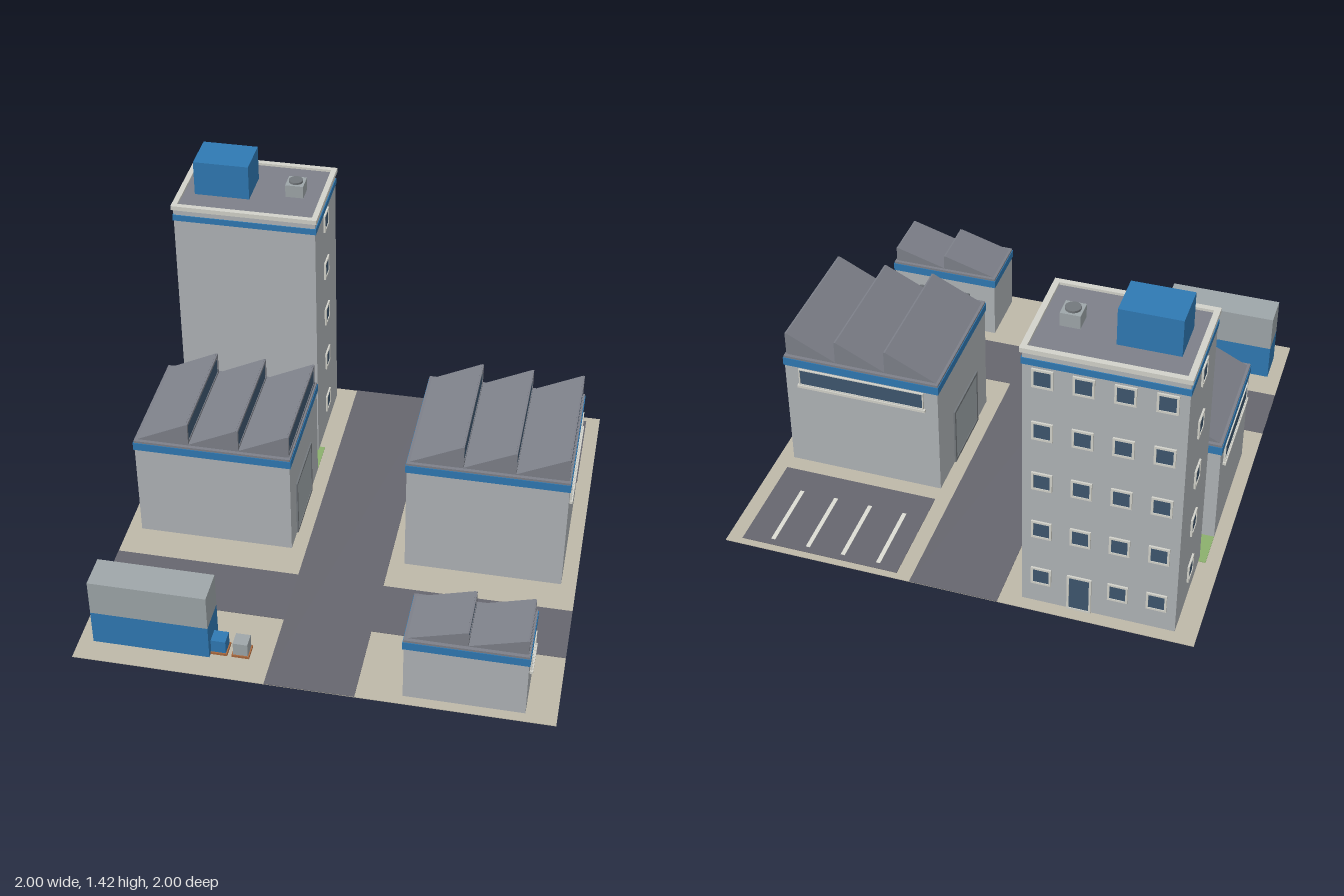
import * as THREE from 'three';

const mat = (color) => new THREE.MeshStandardMaterial({ color });
const M = {
  pavement: mat(0xbeb8a8), asphalt: mat(0x66666e), line: mat(0xdcdcd4), wall: mat(0xb0b4b7),
  blue: mat(0x2f79b3), roof: mat(0x7d8089), glass: mat(0x3e566e), trim: mat(0xd2d2ca),
  metal: mat(0x9ea6a9), dark: mat(0x73787c), grass: mat(0x8bb06c), wood: mat(0xa9683c),
};

// Box given by its limits on each axis
function box(parent, name, m, x0, x1, y0, y1, z0, z1) {
  const mesh = new THREE.Mesh(new THREE.BoxGeometry(x1 - x0, y1 - y0, z1 - z0), m);
  mesh.position.set((x0 + x1) / 2, (y0 + y1) / 2, (z0 + z1) / 2);
  mesh.name = name;
  parent.add(mesh);
  return mesh;
}

function group(parent, name) {
  const g = new THREE.Group();
  g.name = name;
  parent.add(g);
  return g;
}

// Framed panel standing on a wall; turn is the rotation about y (0 faces +z)
function panel(parent, name, x, y, z, turn, w, h, { fill = M.glass, frame = M.trim, edge = 0.009, depth = 0.008, sill = 0 } = {}) {
  const g = group(parent, name);
  g.position.set(x, y, z);
  g.rotation.y = turn;
  const s = new THREE.Shape();
  s.moveTo(-w / 2, -h / 2).lineTo(w / 2, -h / 2).lineTo(w / 2, h / 2).lineTo(-w / 2, h / 2).closePath();
  const hole = new THREE.Path();
  const a = w / 2 - edge, b = h / 2 - edge;
  hole.moveTo(-a, -b).lineTo(-a, b).lineTo(a, b).lineTo(a, -b).closePath();
  s.holes.push(hole);
  const f = new THREE.Mesh(new THREE.ExtrudeGeometry(s, { depth, bevelEnabled: false }), frame);
  f.name = name + 'Frame';
  g.add(f);
  box(g, name + 'Pane', fill, -a, a, -b, b, 0, depth * 0.6);
  if (sill) box(g, name + 'Sill', M.trim, -w / 2 - 0.008, w / 2 + 0.008, -h / 2 - sill, -h / 2, 0, 0.014);
  return g;
}

const RIGHT = Math.PI / 2, LEFT = -Math.PI / 2, BACK = Math.PI;

// Hall with a blue band and a saw-tooth roof whose glazing faces +x
function hall(parent, name, { x0, x1, z0, z1, h, teeth, rise }) {
  const g = group(parent, name);
  box(g, 'walls', M.wall, x0, x1, 0, h, z0, z1);
  const e = 0.005;
  box(g, 'band', M.blue, x0 - e, x1 + e, h, h + 0.037, z0 - e, z1 + e);
  box(g, 'roofSlab', M.roof, x0 - 0.002, x1 + 0.002, h + 0.037, h + 0.047, z0 - 0.002, z1 + 0.002);
  const a = x0 + 0.01, step = (x1 - 0.012 - a) / teeth, d = z1 - z0 - 0.026;
  const s = new THREE.Shape();
  s.moveTo(0, 0).lineTo(step, 0).lineTo(step, rise).closePath();
  const geo = new THREE.ExtrudeGeometry(s, { depth: d, bevelEnabled: false });
  for (let i = 0; i < teeth; i++) {
    const t = new THREE.Mesh(geo, M.roof);
    t.name = 'roofTooth';
    t.position.set(a + i * step, h + 0.047, z0 + 0.013);
    g.add(t);
    panel(g, 'roofLight', a + (i + 1) * step, h + 0.047 + rise / 2, (z0 + z1) / 2, RIGHT, d, rise - 0.002,
      { frame: M.roof, edge: 0.014, depth: 0.007 });
  }
  return g;
}

function tower(parent) {
  const g = group(parent, 'officeTower');
  const x0 = -0.91, x1 = -0.28, z0 = -0.945, z1 = -0.51, cx = -0.595, cz = -0.725;
  box(g, 'walls', M.wall, x0, x1, 0, 1.262, z0, z1);
  box(g, 'band', M.blue, x0 - 0.004, x1 + 0.004, 1.2, 1.228, z0 - 0.004, z1 + 0.004);
  // Parapet ring
  const s = new THREE.Shape(), hole = new THREE.Path();
  const W = 0.323, D = 0.228, w = W - 0.024, d = D - 0.024;
  s.moveTo(-W, -D).lineTo(W, -D).lineTo(W, D).lineTo(-W, D).closePath();
  hole.moveTo(-w, -d).lineTo(-w, d).lineTo(w, d).lineTo(w, -d).closePath();
  s.holes.push(hole);
  const ring = new THREE.Mesh(new THREE.ExtrudeGeometry(s, { depth: 0.02, bevelEnabled: false }), M.trim);
  ring.name = 'parapet';
  ring.rotation.x = -Math.PI / 2;
  ring.position.set(cx, 1.256, (z0 + z1) / 2);
  g.add(ring);
  box(g, 'roof', M.roof, cx - w, cx + w, 1.25, 1.265, -0.7275 - d, -0.7275 + d);
  // Rooftop equipment
  box(g, 'roofHousing', M.blue, -0.845, -0.6, 1.26, 1.425, -0.818, -0.635);
  box(g, 'fanUnit', M.metal, -0.45, -0.37, 1.26, 1.323, -0.77, -0.688);
  const fan = new THREE.Mesh(new THREE.CylinderGeometry(0.031, 0.031, 0.012, 20), M.dark);
  fan.name = 'fan';
  fan.position.set(-0.41, 1.326, -0.729);
  g.add(fan);
  // Windows on five floors, with a door in the back wall
  for (let i = 0; i < 5; i++) {
    const y = 0.145 + i * 0.25;
    panel(g, 'window', x1, y, cz, RIGHT, 0.083, 0.085);
    panel(g, 'window', x0, y, cz, LEFT, 0.083, 0.085);
    for (let c = 0; c < 4; c++) {
      if (i === 0 && c === 2) continue;
      panel(g, 'window', cx + (c - 1.5) * 0.157, y, z0, BACK, 0.083, 0.085);
    }
  }
  panel(g, 'door', cx + 0.0785, 0.093, z0, BACK, 0.1, 0.18);
}

export function createModel() {
  const model = new THREE.Group();
  model.name = 'industrialBlock';

  // Ground, roads, parking and lawn
  box(model, 'pavement', M.pavement, -1, 1, 0, 0.003, -1, 1);
  box(model, 'mainRoad', M.asphalt, -0.19, 0.185, 0.002, 0.005, -1, 1);
  box(model, 'crossRoadRight', M.asphalt, -1, -0.19, 0.002, 0.005, 0.343, 0.623);
  box(model, 'crossRoadLeft', M.asphalt, 0.185, 1, 0.002, 0.005, 0.343, 0.623);
  box(model, 'parkingLot', M.asphalt, 0.25, 0.937, 0.002, 0.005, -0.97, -0.505);
  for (let i = 0; i < 4; i++) {
    const x = 0.343 + i * 0.156;
    box(model, 'parkingLine', M.line, x - 0.009, x + 0.009, 0.004, 0.007, -0.94, -0.63);
  }
  box(model, 'lawn', M.grass, -0.94, -0.255, 0.002, 0.006, -0.535, -0.37);
  for (const x of [-0.815, -0.378]) box(model, 'hedge', M.grass, x - 0.03, x + 0.03, 0.004, 0.067, -0.488, -0.43);

  tower(model);

  // Halls with their doors and strip windows
  const door = { fill: M.metal, frame: M.dark, edge: 0.014, depth: 0.007 };
  const strip = { edge: 0.005, depth: 0.009, sill: 0.012 };
  const west = hall(model, 'rightHall', { x0: -0.94, x1: -0.255, z0: -0.375, z1: 0.18, h: 0.459, teeth: 3, rise: 0.109 });
  panel(west, 'stripWindow', -0.94, 0.41, -0.095, LEFT, 0.43, 0.085, strip);
  panel(west, 'stripWindow', -0.595, 0.41, -0.375, BACK, 0.56, 0.085, strip);
  panel(west, 'loadingDoor', -0.255, 0.143, -0.075, RIGHT, 0.3, 0.28, door);

  const east = hall(model, 'leftHall', { x0: 0.25, x1: 0.935, z0: -0.433, z1: 0.185, h: 0.524, teeth: 3, rise: 0.109 });
  panel(east, 'stripWindow', 0.935, 0.475, -0.123, RIGHT, 0.505, 0.083, strip);
  panel(east, 'stripWindow', 0.592, 0.475, -0.433, BACK, 0.56, 0.083, strip);
  panel(east, 'loadingDoor', 0.25, 0.143, -0.1, LEFT, 0.3, 0.28, door);

  const small = hall(model, 'workshop', { x0: 0.375, x1: 0.872, z0: 0.69, z1: 0.957, h: 0.272, teeth: 2, rise: 0.071 });
  panel(small, 'stripWindow', 0.872, 0.226, 0.823, RIGHT, 0.146, 0.078, strip);
  panel(small, 'loadingDoor', 0.623, 0.106, 0.69, BACK, 0.25, 0.21, door);

  // Stacked containers and crates on pallets
  box(model, 'lowerContainer', M.blue, -0.94, -0.443, 0.003, 0.166, 0.75, 0.897);
  box(model, 'upperContainer', M.metal, -0.94, -0.443, 0.166, 0.331, 0.75, 0.897);
  [[-0.41, M.blue], [-0.317, M.metal]].forEach(([x, m]) => {
    box(model, 'pallet', M.wood, x - 0.037, x + 0.037, 0.003, 0.014, 0.805, 0.877);
    box(model, 'crate', m, x - 0.031, x + 0.031, 0.014, 0.076, 0.81, 0.872);
  });
  return model;
}
